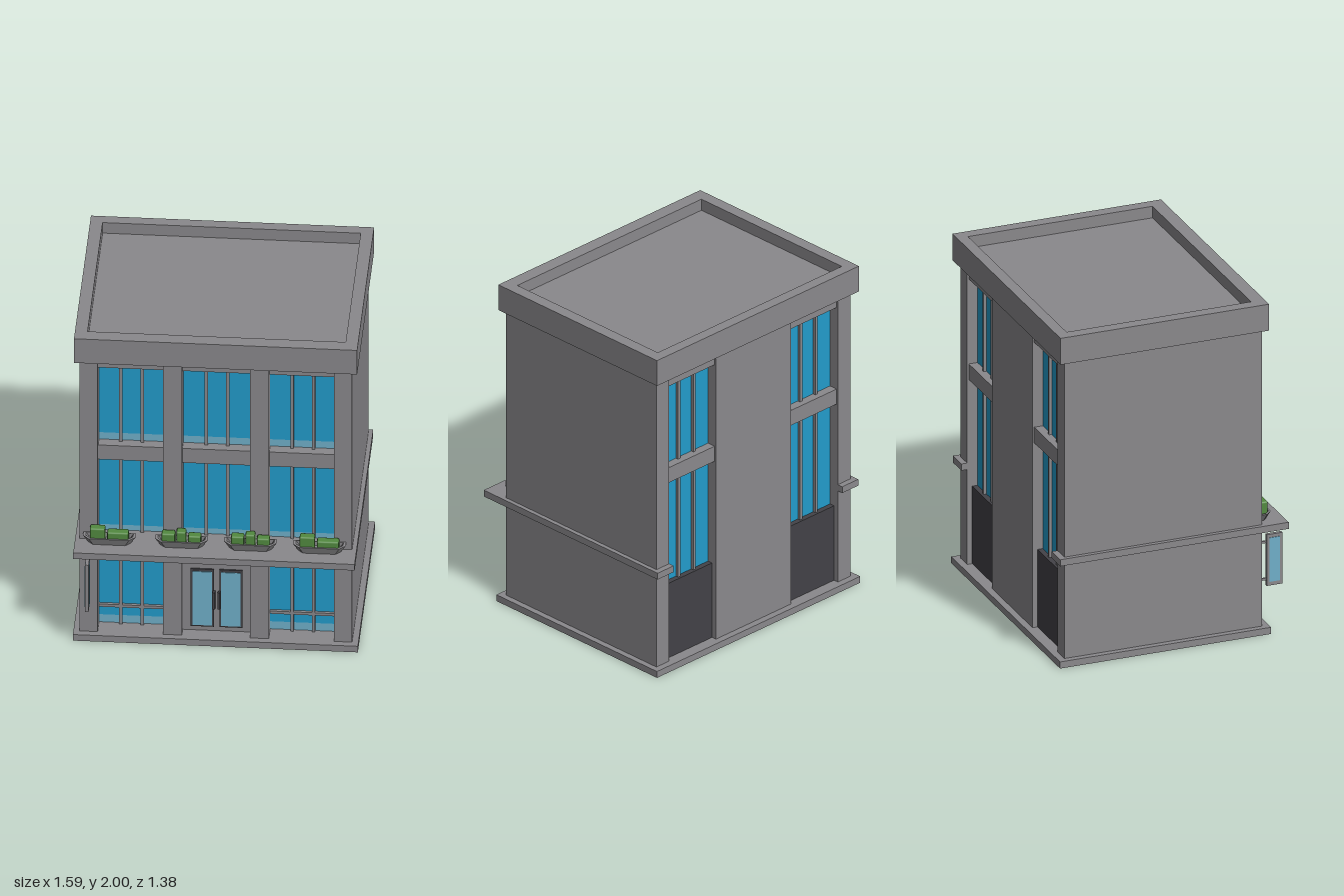
import * as THREE from 'three';
import { RoundedBoxGeometry } from 'three/addons/geometries/RoundedBoxGeometry.js';

const mat = (name, color) => new THREE.MeshStandardMaterial({ name, color });

export function createModel() {
  const wall = mat('concrete grey', 0x8a898c);
  const blue = mat('window blue', 0x229ccb);
  const pale = mat('pale glass', 0x70b0ca);
  const dark = mat('charcoal', 0x434247);
  const green = mat('leaf green', 0x528a40);
  const model = new THREE.Group();
  model.name = 'building';

  const add = (name, geometry, material, parent = model) => {
    const mesh = new THREE.Mesh(geometry, material);
    mesh.name = name;
    parent.add(mesh);
    return mesh;
  };
  // Box given by its limits on each axis
  const box = (name, material, x0, x1, y0, y1, z0, z1, parent) => {
    const g = new THREE.BoxGeometry(x1 - x0, y1 - y0, z1 - z0);
    g.translate((x0 + x1) / 2, (y0 + y1) / 2, (z0 + z1) / 2);
    return add(name, g, material, parent);
  };
  const rect = (P, x0, x1, z0, z1) => new P([
    new THREE.Vector2(x0, -z0), new THREE.Vector2(x0, -z1),
    new THREE.Vector2(x1, -z1), new THREE.Vector2(x1, -z0)]);
  // Plan outline raised to a height
  const raise = (shape, y0, y1) => {
    const g = new THREE.ExtrudeGeometry(shape, { depth: y1 - y0, bevelEnabled: false });
    return g.rotateX(-Math.PI / 2).translate(0, y0, 0);
  };

  // Main masses
  box('base', wall, -0.795, 0.795, 0, 0.04, -0.69, 0.58);
  box('core', wall, -0.76, 0.76, 0.04, 1.84, -0.58, 0.43);
  box('roof', wall, -0.73, 0.73, 1.84, 1.93, -0.63, 0.5);
  const rim = rect(THREE.Shape, -0.79, 0.79, -0.685, 0.57);
  rim.holes.push(rect(THREE.Path, -0.72, 0.72, -0.62, 0.49));
  add('parapet', raise(rim, 1.84, 2), wall);

  // Piers and rear wall
  for (const s of [-1, 1]) {
    const span = (a, b) => (s > 0 ? [a, b] : [-b, -a]);
    box('frontCornerPier', wall, ...span(0.66, 0.76), 0.04, 1.84, 0.43, 0.54);
    box('frontInnerPier', wall, ...span(0.19, 0.295), 0.04, 1.84, 0.43, 0.54);
    box('rearCornerPier', wall, ...span(0.66, 0.76), 0.04, 1.84, -0.65, -0.58);
    // Ledge along the side, turning the rear corner
    box('sideLedge', wall, ...span(0.755, 0.785), 0.615, 0.655, -0.685, 0.45);
    box('rearLedgeEnd', wall, ...span(0.66, 0.785), 0.615, 0.655, -0.685, -0.64);
  }
  box('rearWall', wall, -0.295, 0.295, 0.04, 1.84, -0.65, -0.58);
  box('canopy', wall, -0.785, 0.785, 0.615, 0.655, 0.43, 0.69);

  // Front window with paler strip at the foot and two mullions
  const frontWindow = (x0, x1, y0, y1, strip) => {
    const g = new THREE.Group();
    g.name = 'frontWindow';
    model.add(g);
    const c = (x0 + x1) / 2;
    box('glass', blue, x0, x1, y0 + strip, y1, 0.43, 0.438, g);
    box('paleStrip', pale, x0, x1, y0, y0 + strip, 0.43, 0.438, g);
    for (const d of [-0.06, 0.06])
      box('mullion', wall, c + d - 0.009, c + d + 0.009, y0, y1, 0.43, 0.455, g);
  };
  for (const [x0, x1] of [[-0.66, -0.295], [-0.19, 0.19], [0.295, 0.66]]) {
    frontWindow(x0, x1, 0.655, 1.16, 0.035);
    frontWindow(x0, x1, 1.255, 1.77, 0.045);
    box('spandrel', wall, x0, x1, 1.16, 1.255, 0.43, 0.5);
    box('lintel', wall, x0, x1, 1.77, 1.84, 0.43, 0.5);
    box('groundLintel', wall, x0, x1, 0.51, 0.615, 0.43, 0.5);
    if (x0 === -0.19) continue;
    frontWindow(x0, x1, 0.04, 0.51, 0.05);
    box('crossbar', wall, x0, x1, 0.151, 0.169, 0.43, 0.455);
  }

  // Rear window bays with charcoal panels below
  for (const [x0, x1] of [[-0.66, -0.295], [0.295, 0.66]]) {
    const c = (x0 + x1) / 2;
    box('rearGlass', blue, x0, x1, 0.5, 1.77, -0.588, -0.58);
    for (const d of [-0.06, 0.06])
      box('rearMullion', wall, c + d - 0.009, c + d + 0.009, 0.5, 1.77, -0.605, -0.58);
    box('rearSpandrel', wall, x0, x1, 1.16, 1.255, -0.64, -0.58);
    box('rearLintel', wall, x0, x1, 1.77, 1.84, -0.64, -0.58);
    box('rearPanel', dark, x0, x1, 0.04, 0.51, -0.62, -0.58);
  }

  // Entrance
  box('entranceWall', wall, -0.19, 0.19, 0.04, 0.51, 0.43, 0.48);
  for (const s of [-1, 1]) {
    const door = new THREE.Group();
    door.name = 'door';
    door.position.x = s * 0.08;
    model.add(door);
    box('doorFrame', dark, -0.065, 0.065, 0.07, 0.45, 0.48, 0.488, door);
    box('doorGlass', pale, -0.054, 0.054, 0.08, 0.435, 0.487, 0.492, door);
    box('doorHandle', dark, -s * 0.066 - 0.007, -s * 0.066 + 0.007, 0.2, 0.31, 0.488, 0.51, door);
  }

  // Planter: chamfered trough that narrows downward
  const outline = (P, w, z, c) => new P([[-w, 0], [-w, -z + c], [-w + c, -z], [w - c, -z],
    [w, -z + c], [w, 0]].map(p => new THREE.Vector2(...p)));
  const trough = outline(THREE.Shape, 0.147, 0.075, 0.035);
  const hollow = outline(THREE.Path, 0.132, 0.062, 0.03);
  hollow.curves.forEach(k => { k.v1.y -= 0.004; k.v2.y -= 0.004; });
  trough.holes.push(hollow);
  const planter = (x, bushes) => {
    const group = new THREE.Group();
    group.name = 'planter';
    group.position.set(x, 0.655, 0.54);
    model.add(group);
    const g = raise(trough, 0, 0.048);
    const p = g.attributes.position;
    for (let i = 0; i < p.count; i++)
      if (p.getY(i) < 0.01) p.setXYZ(i, p.getX(i) * 0.8, p.getY(i), p.getZ(i) * 0.75);
    g.computeVertexNormals();
    add('trough', g, wall, group);
    add('soil', raise(outline(THREE.Shape, 0.122, 0.06, 0.03), 0.01, 0.02), wall, group);
    for (const [x0, x1, top] of bushes) {
      const b = new RoundedBoxGeometry(x1 - x0, top - 0.67, 0.052, 1, 0.009);
      b.translate((x0 + x1) / 2 - x, (top + 0.67) / 2 - 0.655, 0.036);
      add('bush', b, green, group);
    }
  };
  planter(-0.592, [[-0.7, -0.615, 0.762], [-0.603, -0.485, 0.74]]);
  planter(-0.19, [[-0.3, -0.225, 0.747], [-0.217, -0.163, 0.762], [-0.152, -0.08, 0.738]]);
  planter(0.195, [[0.088, 0.16, 0.747], [0.168, 0.222, 0.762], [0.232, 0.303, 0.74]]);
  planter(0.58, [[0.47, 0.555, 0.762], [0.567, 0.69, 0.738]]);

  // Hanging sign, blank on both sides
  box('signFrame', wall, -0.72, -0.7, 0.26, 0.57, 0.585, 0.68);
  box('signFace', pale, -0.723, -0.697, 0.283, 0.55, 0.601, 0.664);
  for (const y of [0.3, 0.525])
    box('signBracket', wall, -0.716, -0.704, y - 0.006, y + 0.006, 0.535, 0.59);
  return model;
}
